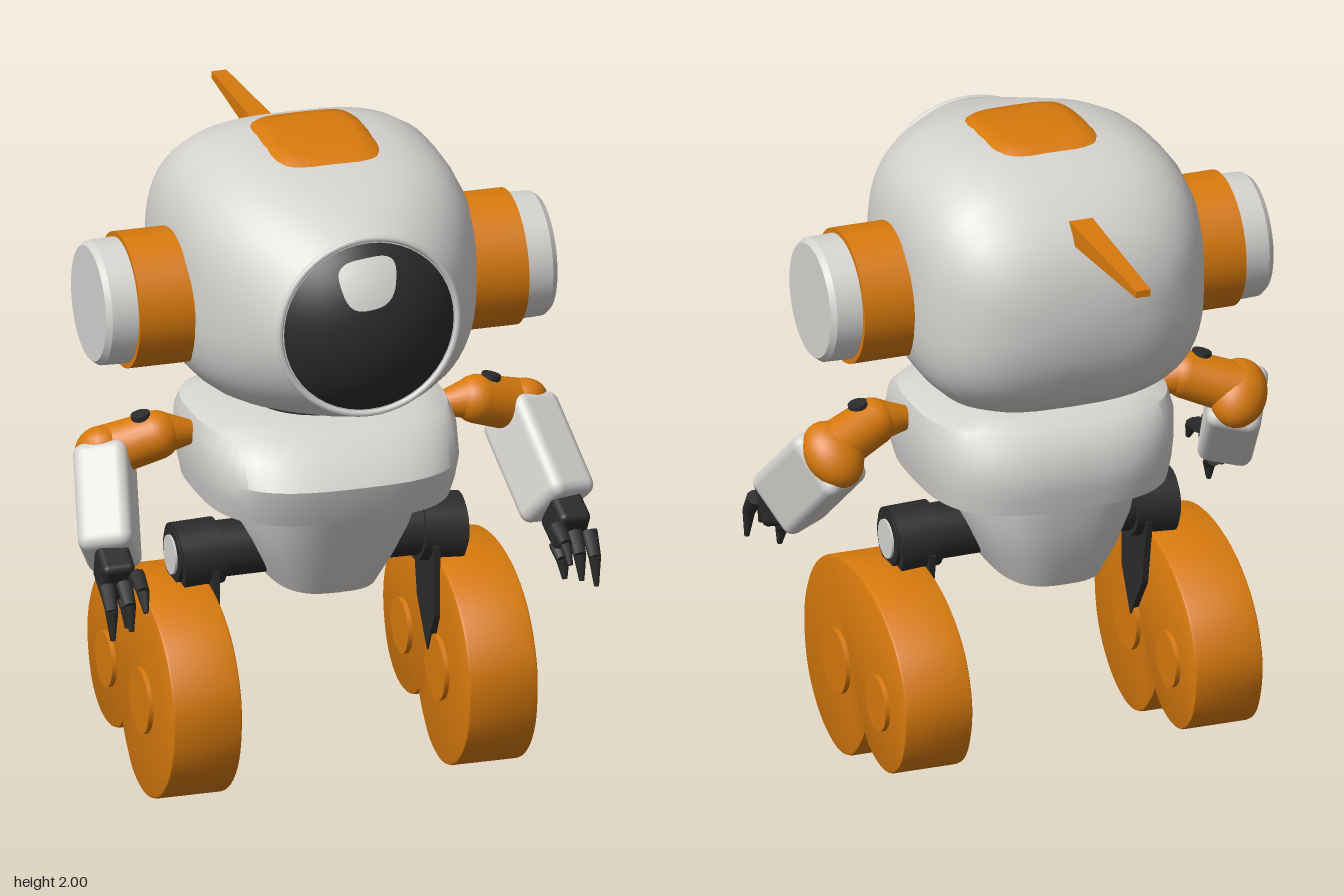
import * as THREE from 'three';
import { toCreasedNormals } from 'three/addons/utils/BufferGeometryUtils.js';
import { RoundedBoxGeometry } from 'three/addons/geometries/RoundedBoxGeometry.js';

const mat = (name, color) => {
  const m = new THREE.MeshStandardMaterial({ color });
  m.name = name;
  return m;
};
const V = (x, y, z) => new THREE.Vector3(x, y, z);
const spow = (v, e) => Math.sign(v) * Math.pow(Math.abs(v), e);

// Head sections, front to back: z, half width, bottom, top, squareness
const HEAD = [
  [0.685, 0.285, 1.29, 1.85, 2], [0.6, 0.335, 1.26, 1.885, 2.25], [0.5, 0.385, 1.235, 1.92, 2.6],
  [0.4, 0.425, 1.215, 1.953, 2.9], [0.3, 0.445, 1.2, 1.973, 3.1], [0.2, 0.45, 1.188, 1.985, 3.2],
  [0.1, 0.452, 1.182, 1.99, 3.2], [0, 0.452, 1.18, 1.988, 3.2], [-0.1, 0.445, 1.185, 1.97, 3.1],
  [-0.18, 0.425, 1.21, 1.93, 3], [-0.25, 0.385, 1.25, 1.875, 2.9], [-0.3, 0.335, 1.3, 1.82, 2.8],
  [-0.34, 0.27, 1.37, 1.755, 2.6], [-0.363, 0.18, 1.44, 1.68, 2.4], [-0.373, 0.07, 1.52, 1.6, 2],
];

// Torso sections, top to bottom: y, half width, back z, front z
const TORSO = [
  [1.175, 0.33, -0.13, 0.4], [1.15, 0.385, -0.18, 0.455], [1.1, 0.398, -0.225, 0.53],
  [1.02, 0.395, -0.25, 0.583], [0.96, 0.388, -0.245, 0.565], [0.9, 0.375, -0.235, 0.54],
  [0.9, 0.265, -0.235, 0.54], [0.82, 0.25, -0.22, 0.5], [0.72, 0.21, -0.19, 0.45], [0.62, 0.16, -0.145, 0.39],
];

// Skin over rings of points, closed at both ends
function loft(rings, crease) {
  const n = rings[0].length, pos = [], idx = [];
  rings.forEach(r => r.forEach(p => pos.push(p.x, p.y, p.z)));
  for (let i = 0; i < rings.length - 1; i++) for (let j = 0; j < n; j++) {
    const a = i * n + j, b = i * n + (j + 1) % n;
    idx.push(a, a + n, b, b, a + n, b + n);
  }
  [0, rings.length - 1].forEach((k, end) => {
    const c = rings[k].reduce((s, p) => s.add(p), V(0, 0, 0)).divideScalar(n);
    const ci = pos.length / 3;
    pos.push(c.x, c.y, c.z);
    for (let j = 0; j < n; j++) {
      const a = k * n + j, b = k * n + (j + 1) % n;
      if (end) idx.push(ci, b, a); else idx.push(ci, a, b);
    }
  });
  const g = new THREE.BufferGeometry();
  g.setAttribute('position', new THREE.Float32BufferAttribute(pos, 3));
  g.setIndex(idx);
  return toCreasedNormals(g, crease);
}
const ring = (n, e, fn) => Array.from({ length: n }, (_, j) => {
  const t = j / n * Math.PI * 2;
  return fn(spow(Math.cos(t), 2 / e), spow(Math.sin(t), 2 / e));
});

// Height of the head's upper surface
function headTop(x, z) {
  const i = Math.max(0, HEAD.findIndex((s, k) => k > 0 && s[0] <= z) - 1);
  const a = HEAD[i], b = HEAD[i + 1], t = (a[0] - z) / (a[0] - b[0]);
  const [, w, lo, hi, e] = a.map((v, k) => v + (b[k] - v) * t);
  return (lo + hi) / 2 + (hi - lo) / 2 * Math.pow(1 - Math.pow(Math.abs(x) / w, e), 1 / e);
}

// Rounded square patch of rings, shaped by a rule (u, v, edge)
function patch(e, fn) {
  const g = new THREE.RingGeometry(0.001, 1, 40, 6), p = g.attributes.position;
  for (let i = 0; i < p.count; i++) {
    const x = p.getX(i), y = p.getY(i), r = Math.hypot(x, y);
    const q = fn(r * spow(x / r, 2 / e), r * spow(y / r, 2 / e), r > 0.99);
    p.setXYZ(i, q.x, q.y, q.z);
  }
  g.computeVertexNormals();
  return g;
}

export function createModel() {
  const root = new THREE.Group();
  root.name = 'robot';
  const shell = mat('lightShell', 0xd6d4d1), orange = mat('orange', 0xd87a0d), dark = mat('darkParts', 0x2b2b2c);
  const add = (name, geo, m) => {
    const mesh = new THREE.Mesh(geo, m);
    mesh.name = name;
    root.add(mesh);
    return mesh;
  };
  // Place a part that lies along y so that it runs from a to b
  const along = (mesh, a, b) => {
    mesh.position.copy(a).add(b).multiplyScalar(0.5);
    mesh.quaternion.setFromUnitVectors(V(0, 1, 0), b.clone().sub(a).normalize());
    return mesh;
  };
  const rod = (name, a, b, ra, rb, m, seg = 24) =>
    along(add(name, new THREE.CylinderGeometry(rb, ra, a.distanceTo(b), seg), m), a, b);

  // Head
  add('head', loft(HEAD.map(([z, w, lo, hi, e]) =>
    ring(56, e, (c, s) => V(w * c, (lo + hi) / 2 + (hi - lo) / 2 * s, z))), 0.9), shell);

  // Visor dome with a glint
  const R = 0.374, vz = 0.42, vy = 1.575;
  const dome = new THREE.SphereGeometry(R, 48, 14, 0, Math.PI * 2, 0, Math.asin(0.272 / R));
  dome.rotateX(Math.PI / 2);
  add('visor', dome, dark).position.set(0, vy, vz);
  add('visorGlint', patch(3, (u, v) => {
    const x = -0.02 + u * (0.085 + 0.015 * v), y = 0.16 + v * 0.07 + 0.01 * u;
    return V(x, vy + y, vz + Math.sqrt((R + 0.003) ** 2 - x * x - y * y));
  }), shell);
  const rim = add('visorRim', new THREE.TorusGeometry(0.277, 0.01, 8, 56), shell);
  rim.position.set(0, vy, 0.684);

  // Roof hatch following the head
  add('roofHatch', patch(4.5, (u, v, edge) => {
    const x = u * 0.18, z = 0.15 - v * 0.21;
    return V(x, headTop(x, z) + (edge ? -0.01 : 0.011), z);
  }), orange);

  // Antenna
  const ant = new THREE.BoxGeometry(1, 1, 1), ap = ant.attributes.position;
  for (let i = 0; i < ap.count; i++) {
    const tip = ap.getZ(i) < 0;
    ap.setXYZ(i, ap.getX(i) * (tip ? 0.046 : 0.074),
      (tip ? 1.832 : 1.822) + ap.getY(i) * (tip ? 0.022 : 0.066), tip ? -0.797 : -0.27);
  }
  ant.computeVertexNormals();
  add('antenna', ant, orange);

  // Neck and torso
  rod('neck', V(0, 1.15, 0.16), V(0, 1.21, 0.16), 0.2, 0.2, dark, 36);
  add('torso', loft(TORSO.map(([y, w, back, front]) =>
    ring(48, 3, (c, s) => V(w * c, y, (back + front) / 2 - (front - back) / 2 * s))), 0.6), shell);

  // Wheel pod outline in (z, y), with a sharp notch below
  const P = a => a.map(([z, y]) => new THREE.Vector2(z, y));
  const pod = new THREE.Shape();
  pod.moveTo(0.05, 0.16);
  pod.splineThru(P([[0.09, 0.1], [0.17, 0.03], [0.28, 0.008], [0.4, 0.045], [0.5, 0.135], [0.545, 0.25], [0.54, 0.39],
    [0.46, 0.52], [0.33, 0.6], [0.17, 0.63], [0, 0.615], [-0.13, 0.565], [-0.23, 0.485], [-0.285, 0.38], [-0.29, 0.28],
    [-0.25, 0.175], [-0.17, 0.112], [-0.08, 0.1], [0, 0.12], [0.05, 0.16]]));
  const podGeo = new THREE.ExtrudeGeometry(pod, {
    depth: 0.195, bevelThickness: 0.01, bevelSize: 0.008, bevelSegments: 2, curveSegments: 64,
  });
  podGeo.rotateY(-Math.PI / 2).translate(0.0975, 0, 0);
  const podSmooth = toCreasedNormals(podGeo, 0.6);

  // Strut plate outline in (z, y)
  const strut = new THREE.Shape(P([[0.27, 0.68], [0.06, 0.68], [0.1, 0.47], [0.2, 0.33], [0.27, 0.46]]));
  const strutGeo = new THREE.ExtrudeGeometry(strut, { depth: 0.02, bevelEnabled: false });
  strutGeo.rotateY(-Math.PI / 2).translate(0.01, 0, 0);

  for (const s of [1, -1]) {
    const side = s > 0 ? 'left' : 'right';
    const p = (x, y, z) => V(s * x, y, z);

    // Ear pods
    rod(side + 'EarBase', p(0.38, 1.53, 0.145), p(0.605, 1.53, 0.145), 0.205, 0.205, orange, 48);
    rod(side + 'EarCap', p(0.6, 1.53, 0.145), p(0.685, 1.53, 0.145), 0.19, 0.187, shell, 48);
    rod(side + 'EarCapEdge', p(0.685, 1.53, 0.145), p(0.702, 1.53, 0.145), 0.187, 0.174, shell, 48);

    // Shoulder and elbow
    rod(side + 'ShoulderJoint', p(0.34, 1.09, 0.165), p(0.49, 1.1, 0.165), 0.02, 0.068, orange);
    const ball = add(side + 'Shoulder', new THREE.SphereGeometry(0.074, 24, 16), orange);
    ball.position.copy(p(0.5, 1.095, 0.165));
    rod(side + 'UpperArm', p(0.5, 1.095, 0.165), p(0.64, 1.045, 0.125), 0.074, 0.08, orange);
    rod(side + 'ShoulderBolt', p(0.54, 1.14, 0.16), p(0.547, 1.167, 0.16), 0.03, 0.03, dark, 12);

    // Forearm
    const a = p(0.642, 1.035, 0.11), b = p(0.7, 0.795, 0.355);
    const elbow = along(add(side + 'Elbow', new THREE.SphereGeometry(1, 28, 18), orange), a, b);
    elbow.position.copy(a);
    elbow.scale.set(0.087, 0.075, 0.109);
    along(add(side + 'Forearm', new RoundedBoxGeometry(0.165, a.distanceTo(b), 0.215, 3, 0.035), shell), a, b);

    // Hand with two-jointed fingers
    const palmEnd = p(0.705, 0.755, 0.445);
    along(add(side + 'Palm', new RoundedBoxGeometry(0.1, 0.13, 0.14, 2, 0.02), dark), b, palmEnd);
    [[0.655, 0.78, 0.47, 0.66, 0.7, 0.58], [0.7, 0.765, 0.49, 0.7, 0.64, 0.565],
      [0.75, 0.76, 0.48, 0.752, 0.61, 0.545], [0.675, 0.7, 0.4, 0.68, 0.61, 0.46]].forEach((f, i) => {
      const tip = p(f[3], f[4], f[5]), knuckle = p(f[0], f[1], f[2]);
      const mid = knuckle.clone().lerp(tip, 0.5).add(V(0, 0.012, 0.018));
      rod(side + 'Finger' + i, knuckle, mid, 0.026, 0.02, dark, 8);
      rod(side + 'Fingertip' + i, mid, tip, 0.02, 0.008, dark, 8);
    });

    // Axle
    rod(side + 'Axle', p(0, 0.715, 0.165), p(0.45, 0.71, 0.165), 0.085, 0.085, dark, 28);
    rod(side + 'AxleCollar', p(0.31, 0.71, 0.165), p(0.44, 0.7, 0.165), 0.1, 0.105, dark, 28);
    rod(side + 'AxleCap', p(0.44, 0.71, 0.165), p(0.457, 0.71, 0.165), 0.06, 0.06, shell, 20);

    // Wheel pod, hubs and strut
    add(side + 'WheelPod', podSmooth, orange).position.x = s * 0.46;
    rod(side + 'FrontHub', p(0.338, 0.295, 0.26), p(0.582, 0.295, 0.26), 0.1, 0.1, orange, 32);
    rod(side + 'RearHub', p(0.338, 0.3, -0.088), p(0.582, 0.3, -0.088), 0.085, 0.085, orange, 32);
    add(side + 'Strut', strutGeo, dark).position.x = s * 0.343;
  }
  return root;
}
